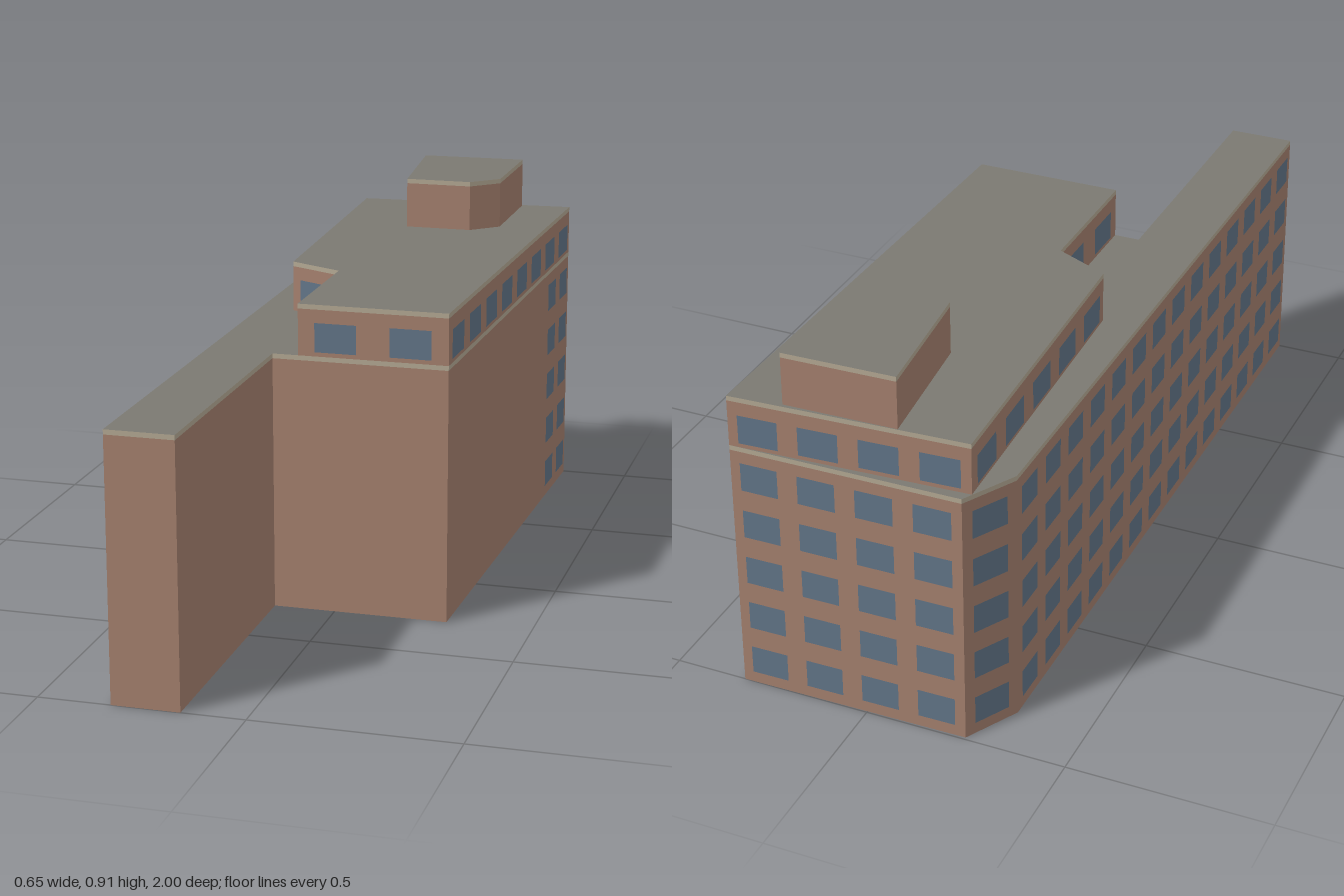
import * as THREE from 'three';
import { mergeGeometries } from 'three/addons/utils/BufferGeometryUtils.js';

const material = (name, color, side = THREE.DoubleSide) => {
  const m = new THREE.MeshStandardMaterial({ color, side });
  m.name = name;
  return m;
};

// Vertical faces around an outline of [x, z] points, open at top and bottom
function ring(outline, y0, y1) {
  const pos = [];
  outline.forEach(([ax, az], i) => {
    const [bx, bz] = outline[(i + 1) % outline.length];
    pos.push(ax, y0, az, bx, y0, bz, bx, y1, bz, ax, y0, az, bx, y1, bz, ax, y1, az);
  });
  const g = new THREE.BufferGeometry();
  g.setAttribute('position', new THREE.Float32BufferAttribute(pos, 3));
  g.computeVertexNormals();
  return g;
}

// Flat roof over an outline
function roofPlate(outline, y) {
  const shape = new THREE.Shape(outline.map(([x, z]) => new THREE.Vector2(x, -z)));
  return new THREE.ShapeGeometry(shape).rotateX(-Math.PI / 2).translate(0, y, 0);
}

// Panes spread evenly along one wall, repeated for each sill height
function panes([ax, az], [bx, bz], count, width, height, sills) {
  const dx = bx - ax, dz = bz - az, len = Math.hypot(dx, dz);
  const nx = -dz / len, nz = dx / len, out = 0.002;
  const list = [];
  for (const sill of sills) {
    for (let i = 0; i < count; i++) {
      const t = (i + 0.5) / count;
      list.push(new THREE.PlaneGeometry(width, height)
        .rotateY(Math.atan2(nx, nz))
        .translate(ax + dx * t + nx * out, sill + height / 2, az + dz * t + nz * out));
    }
  }
  return list;
}

export function createModel() {
  const brick = material('brick', 0xa27e6c);
  const trim = material('roof trim', 0xb1a691);
  const roofing = material('roofing', 0x7b7971);
  const glass = material('window glass', 0x607386, THREE.FrontSide);

  // Each wall entry of "bays" is [edge index, window count, window width]
  const tiers = [
    {
      name: 'mainBlock', y0: 0, y1: 0.652,
      outline: [[-0.322, 1], [-0.155, 1], [-0.155, 0.287], [0.286, 0.287],
        [0.313, -0.73], [0.321, -1], [-0.25, -0.993], [-0.322, -0.86]],
      bays: [[4, 2, 0.087], [5, 4, 0.093], [6, 1, 0.097], [7, 14, 0.086]],
      sills: [0, 1, 2, 3, 4].map((i) => 0.03 + i * 0.127),
    },
    {
      name: 'upperStorey', y0: 0.652, y1: 0.781,
      outline: [[-0.09, 0.287], [0.286, 0.287], [0.321, -1],
        [-0.263, -0.967], [-0.231, -0.14], [-0.09, -0.072]],
      bays: [[0, 2, 0.104], [1, 8, 0.107], [2, 4, 0.097],
        [3, 5, 0.108], [4, 1, 0.103], [5, 2, 0.105]],
      sills: [0.663],
    },
    {
      name: 'roofHouse', y0: 0.781, y1: 0.913,
      outline: [[-0.056, -0.63], [0.119, -0.63], [0.188, -0.695], [0.188, -0.983], [-0.091, -0.975]],
      bays: [], sills: [],
    },
  ];

  const model = new THREE.Group();
  model.name = 'building';
  for (const { name, y0, y1, outline, bays, sills } of tiers) {
    const tier = new THREE.Group();
    tier.name = name;
    const add = (part, geometry, mat) => {
      const mesh = new THREE.Mesh(geometry, mat);
      mesh.name = part;
      tier.add(mesh);
    };
    const band = y1 - 0.012;
    add('walls', ring(outline, y0, band), brick);
    add('roofTrim', ring(outline, band, y1), trim);
    add('roof', roofPlate(outline, y1), roofing);
    const windows = bays.flatMap(([edge, count, width]) =>
      panes(outline[edge], outline[(edge + 1) % outline.length], count, width, 0.073, sills));
    if (windows.length) add('windows', mergeGeometries(windows), glass);
    model.add(tier);
  }
  return model;
}
